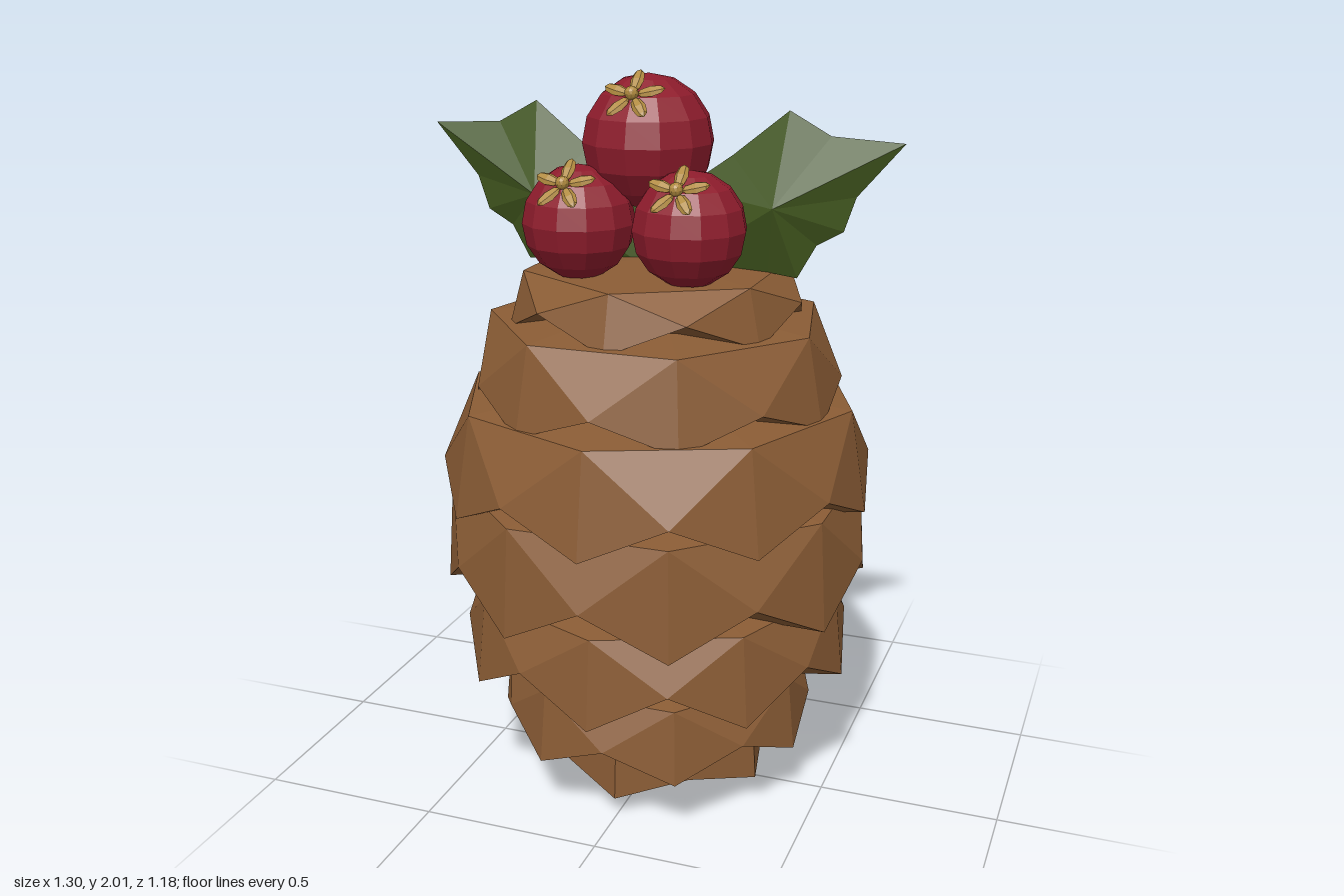
import * as THREE from 'three';

const mat = (name, color) => {
  const m = new THREE.MeshStandardMaterial({ color, flatShading: true });
  m.name = name;
  return m;
};

// Flat-shaded surface from a list of triangles, each corner a Vector3
function facets(corners) {
  const g = new THREE.BufferGeometry().setFromPoints(corners);
  g.computeVertexNormals();
  return g;
}

// One ring of scales: a frustum whose lower rim zigzags between tips and notches
function scaleRing({ n, half, tipR, tipY, notchR, notchY, topR, topY, rise }) {
  const at = (r, y, j) => {
    const a = (j / 2 + (half ? 0.5 : 0)) * Math.PI * 2 / n;
    return new THREE.Vector3(r * Math.sin(a), y, r * Math.cos(a));
  };
  const top = i => at(topR, topY, 2 * i);
  const rim = j => j % 2 ? at(notchR, notchY, j) : at(tipR, tipY, j);
  const inner = j => at(tipR * 0.55, tipY + 0.01, j);
  const apex = new THREE.Vector3(0, topY + rise, 0);
  const base = new THREE.Vector3(0, tipY + 0.01, 0);
  const t = [];
  for (let i = 0; i < n; i++) {
    const j = 2 * i;
    t.push(top(i), rim(j), rim(j + 1));
    t.push(top(i), rim(j + 1), top(i + 1));
    t.push(top(i + 1), rim(j + 1), rim(j + 2));
    t.push(apex, top(i), top(i + 1));
    for (const k of [j, j + 1]) {
      t.push(rim(k + 1), rim(k), inner(k));
      t.push(rim(k + 1), inner(k), inner(k + 1));
      t.push(inner(k + 1), inner(k), base);
    }
  }
  return facets(t);
}

// Five-petalled blossom facing +z, first petal up
function blossom(material) {
  const flower = new THREE.Group();
  flower.name = 'blossom';
  const bead = new THREE.Mesh(new THREE.IcosahedronGeometry(0.018, 1), material);
  bead.name = 'blossomCentre';
  bead.position.z = 0.008;
  flower.add(bead);
  for (let i = 0; i < 5; i++) {
    const a = i * Math.PI * 2 / 5;
    const petal = new THREE.Mesh(new THREE.SphereGeometry(1, 6, 4), material);
    petal.name = 'petal';
    petal.scale.set(0.018, 0.036, 0.01);
    petal.position.set(-Math.sin(a) * 0.048, Math.cos(a) * 0.048, 0);
    petal.rotation.z = a;
    flower.add(petal);
  }
  return flower;
}

export function createModel() {
  const model = new THREE.Group();
  model.name = 'pineCone';
  const brown = mat('coneBrown', 0x8a5c35);
  const red = mat('berryRed', 0x8e1c2c);
  const green = mat('leafGreen', 0x43591f);
  const gold = mat('blossomGold', 0xb08a3e);
  green.side = THREE.DoubleSide;

  const add = (parent, name, geometry, material) => {
    const mesh = new THREE.Mesh(geometry, material);
    mesh.name = name;
    parent.add(mesh);
    return mesh;
  };

  // Cone: seven rings of scales, bottom to top
  const cone = new THREE.Group();
  cone.name = 'cone';
  model.add(cone);
  const rings = [
    { n: 5, half: false, tipR: 0.35, tipY: 0.06, notchR: 0.31, notchY: 0.10, topR: 0.34, topY: 0.21, rise: 0.05 },
    { n: 7, half: true, tipR: 0.45, tipY: 0.17, notchR: 0.44, notchY: 0.25, topR: 0.43, topY: 0.38, rise: 0.06 },
    { n: 8, half: false, tipR: 0.545, tipY: 0.37, notchR: 0.54, notchY: 0.48, topR: 0.52, topY: 0.62, rise: 0.06 },
    { n: 8, half: true, tipR: 0.59, tipY: 0.60, notchR: 0.59, notchY: 0.72, topR: 0.57, topY: 0.90, rise: 0.06 },
    { n: 8, half: false, tipR: 0.59, tipY: 0.86, notchR: 0.59, notchY: 0.96, topR: 0.545, topY: 1.14, rise: 0.06 },
    { n: 7, half: true, tipR: 0.505, tipY: 1.12, notchR: 0.50, notchY: 1.20, topR: 0.46, topY: 1.355, rise: 0.05 },
    { n: 6, half: false, tipR: 0.40, tipY: 1.34, notchR: 0.40, notchY: 1.42, topR: 0.36, topY: 1.49, rise: 0.02 },
  ];
  for (const ring of rings) add(cone, 'scaleRing', scaleRing(ring), brown);

  // Small nub under the cone
  add(cone, 'nub', new THREE.CylinderGeometry(0.07, 0.06, 0.05, 6), brown).position.y = 0.06;
  add(cone, 'nubTip', new THREE.CylinderGeometry(0.06, 0.01, 0.035, 6), brown).position.y = 0.0175;

  // Berries, each with a blossom on its upper front
  const berries = [[0, 1.828, 0.07, 0.172], [-0.15, 1.63, 0.18, 0.148], [0.15, 1.63, 0.18, 0.148]];
  for (const [x, y, z, r] of berries) {
    const berry = new THREE.Group();
    berry.name = 'berry';
    berry.position.set(x, y, z);
    add(berry, 'berryBody', new THREE.SphereGeometry(r, 12, 8), red);
    const flower = blossom(gold);
    flower.rotation.x = -0.83;
    flower.position.set(0, 0.74 * r, 0.67 * r);
    berry.add(flower);
    model.add(berry);
  }

  // Pointed leaves: flat spiky margin raised to a ridge in the middle
  const margin = [[0.04, 1.48], [0.30, 1.49], [0.38, 1.48], [0.43, 1.57], [0.50, 1.61], [0.53, 1.70],
    [0.65, 1.84], [0.46, 1.85], [0.35, 1.91], [0.20, 1.79], [0.07, 1.70]];
  for (const side of [1, -1]) {
    const v = ([x, y], z) => new THREE.Vector3(side * x, y, z);
    const ridge = v([0.33, 1.67], 0.06);
    const t = [];
    margin.forEach((p, i) => {
      const pair = [v(p, -0.015), v(margin[(i + 1) % margin.length], -0.015)];
      if (side < 0) pair.reverse();
      t.push(ridge, ...pair);
    });
    add(model, side > 0 ? 'leftLeaf' : 'rightLeaf', facets(t), green);
  }
  return model;
}
